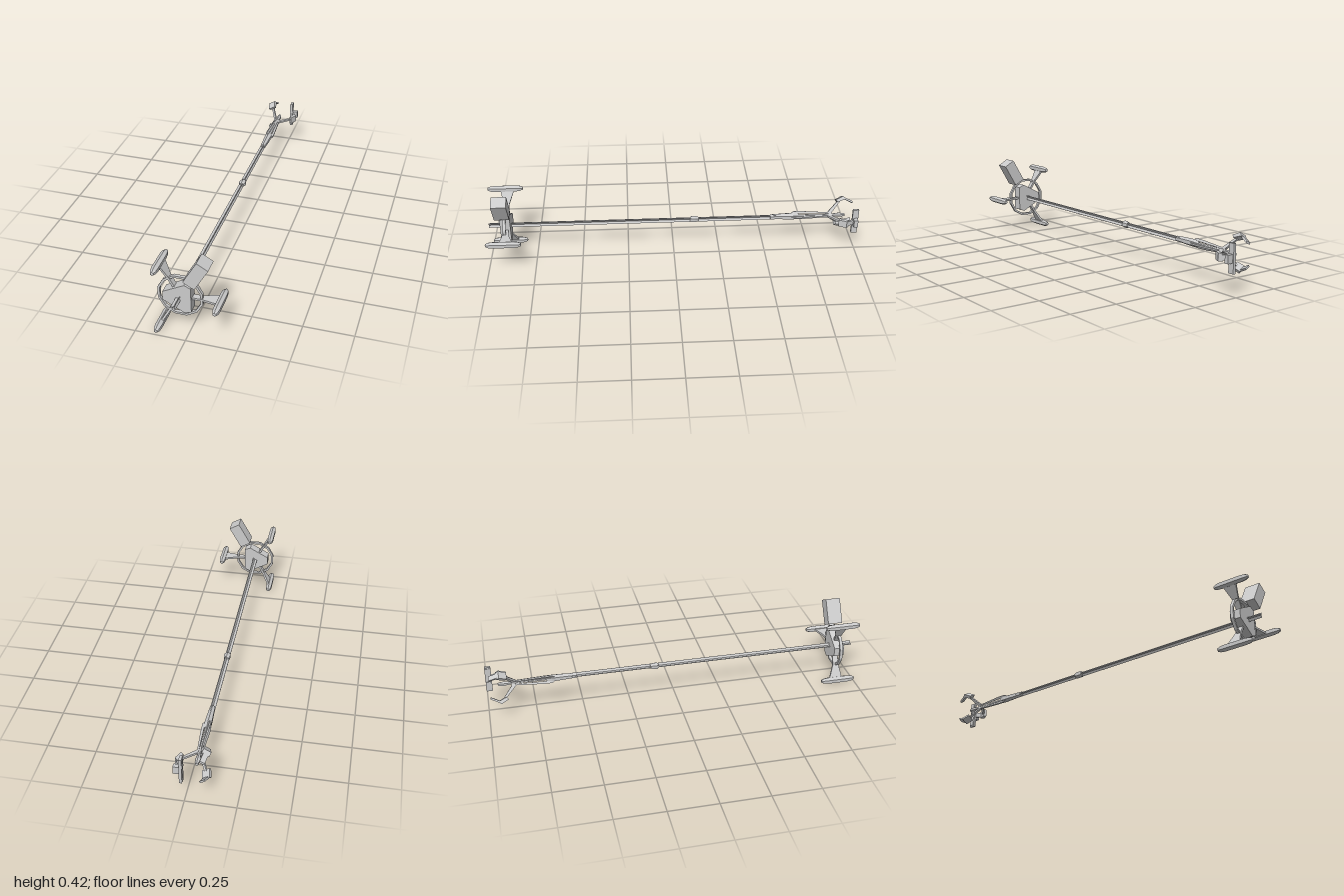
import * as THREE from 'three';

const mat = new THREE.MeshStandardMaterial({ color: 0xcccccc, flatShading: true, side: THREE.DoubleSide });
const THIRD = Math.PI * 2 / 3;
const V = (p) => p.map(([x, y]) => new THREE.Vector2(x, y));

function add(parent, name, geometry) {
  const mesh = new THREE.Mesh(geometry, mat);
  mesh.name = name;
  parent.add(mesh);
  return mesh;
}

// Flat outline in the xy plane, extruded along z and centred on zMid
function plate(points, depth, zMid, hole) {
  const shape = new THREE.Shape(V(points));
  if (hole) shape.holes.push(new THREE.Path(V(hole)));
  return new THREE.ExtrudeGeometry(shape, { depth, bevelEnabled: false }).translate(0, 0, zMid - depth / 2);
}

// Outline given as (radius, z), extruded sideways: a radial slab
const slab = (points, width) => plate(points, width, 0).rotateX(Math.PI / 2);

// Faceted solid of revolution along z, profile given as (radius, z)
const turned = (profile, sides) => new THREE.LatheGeometry(V(profile), sides).rotateX(Math.PI / 2);

const polygon = (sides, radius, phase) => Array.from({ length: sides }, (_, i) => {
  const a = phase + i * Math.PI * 2 / sides;
  return [radius * Math.cos(a), radius * Math.sin(a)];
});

// Three copies around the long axis
function threefold(parent, name, build) {
  for (let i = 0; i < 3; i++) {
    const g = new THREE.Group();
    g.name = name + (i + 1);
    g.rotation.z = i * THIRD;
    build(g);
    parent.add(g);
  }
}

export function createModel() {
  const root = new THREE.Group();
  const ship = new THREE.Group();
  ship.name = 'ship';
  ship.position.set(-0.05, 0.189, 0);
  root.add(ship);

  // Long three-finned boom with a joint halfway
  for (let i = 0; i < 3; i++) {
    const fin = new THREE.BoxGeometry(0.0145, 0.004, 1.6).translate(0.00725, 0, 0.2);
    add(ship, 'boomFin' + (i + 1), fin.rotateZ(Math.PI / 3 + i * THIRD));
  }
  add(ship, 'boomJoint', turned([[0, -0.135], [0.013, -0.135], [0.019, -0.12], [0.019, -0.1], [0.013, -0.09], [0, -0.09]], 6));

  // Engine hub and ring
  add(ship, 'hub', plate([
    [0.06, -0.068], [0.06, 0.068], [0.028, 0.081], [-0.079, 0.0235], [-0.079, -0.0235], [0.028, -0.081],
  ], 0.055, 0.905));
  add(ship, 'ring', plate(polygon(12, 0.1145, Math.PI / 12), 0.016, 0.905, polygon(12, 0.103, Math.PI / 12)));

  // Engine pods on flared pylons
  threefold(ship, 'engine', (g) => {
    add(g, 'pylon', slab([[0.04, 0.89], [0.11, 0.885], [0.192, 0.855], [0.192, 0.93], [0.11, 0.917], [0.04, 0.917]], 0.011));
    const pod = add(g, 'pod', turned([
      [0, 0.81], [0.009, 0.812], [0.016, 0.828], [0.0187, 0.85],
      [0.0187, 0.96], [0.016, 0.982], [0.009, 0.998], [0, 1],
    ], 6));
    pod.position.x = 0.194;
  });

  // Container carried outside the ring
  const container = add(ship, 'container', new THREE.BoxGeometry(0.138, 0.064, 0.08).translate(0.186, 0, 0.915));
  container.rotation.z = Math.PI / 3;

  // Sleeve and slim neck towards the far end
  add(ship, 'sleeve', turned([[0, -0.69], [0.012, -0.69], [0.02, -0.66], [0.018, -0.6], [0.014, -0.53], [0, -0.53]], 6));
  add(ship, 'neck', turned([[0, -0.94], [0.008, -0.94], [0.013, -0.91], [0.008, -0.87], [0.009, -0.68], [0, -0.68]], 6));

  // Folding arms: strut along the neck, outward link, boxy end link
  threefold(ship, 'arm', (g) => {
    add(g, 'neckStrut', slab([[0.014, -0.64], [0.026, -0.66], [0.026, -0.7], [0.014, -0.87], [0.007, -0.87], [0.012, -0.7]], 0.008));
    add(g, 'innerLink', slab([[0.008, -0.84], [0.014, -0.845], [0.088, -0.915], [0.084, -0.925], [0.008, -0.865]], 0.011));
    add(g, 'elbow', slab([[0.07, -0.902], [0.083, -0.892], [0.103, -0.932], [0.088, -0.948]], 0.04));
    add(g, 'outerLink', slab([[0.087, -0.935], [0.1, -0.932], [0.073, -0.985], [0.062, -0.985]], 0.026));
  });

  // Upright end panel on the left arm
  add(ship, 'endPanel', new THREE.BoxGeometry(0.014, 0.145, 0.032).translate(0.065, 0, -0.984));
  add(ship, 'endPanelBracket', new THREE.BoxGeometry(0.034, 0.042, 0.022).translate(0.084, 0, -0.984));
  for (const s of [-1, 1]) {
    add(ship, 'endPanelCap', new THREE.BoxGeometry(0.008, 0.05, 0.024).translate(0.059, s * 0.04, -0.984));
  }
  return root;
}
